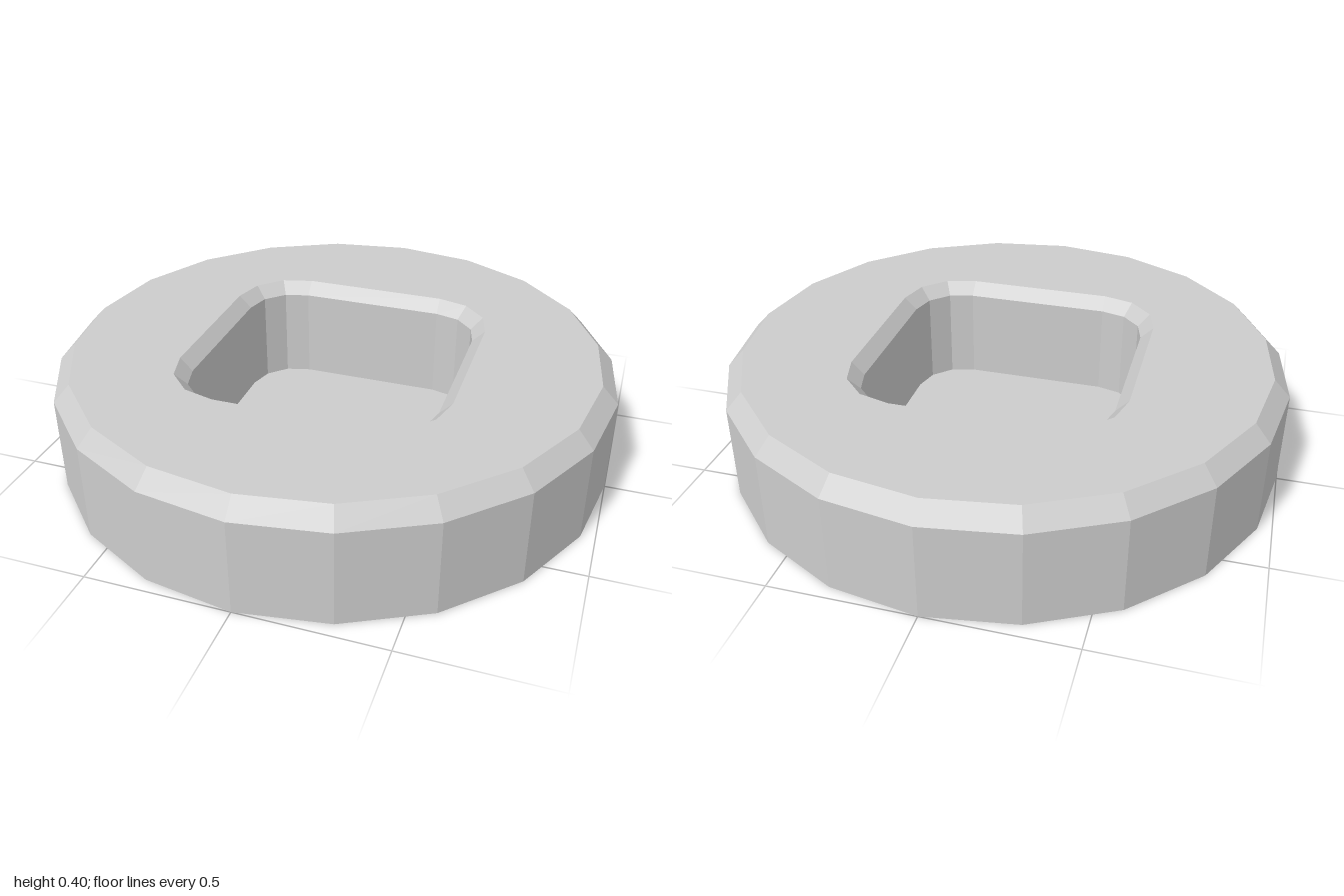
import * as THREE from 'three';

const HEIGHT = 0.4, SIDES = 20;

// Regular polygon outline as [x, z] points
function disc(radius) {
  return Array.from({ length: SIDES }, (_, i) => {
    const a = (i / SIDES) * Math.PI * 2;
    return new THREE.Vector2(Math.cos(a) * radius, Math.sin(a) * radius);
  });
}

// Square outline with three-facet rounded corners
function roundedSquare(radius, centre = 0.267) {
  const points = [];
  for (let corner = 0; corner < 4; corner++) {
    const start = (corner * Math.PI) / 2, mid = start + Math.PI / 4;
    const cx = Math.SQRT2 * centre * Math.cos(mid), cz = Math.SQRT2 * centre * Math.sin(mid);
    for (let i = 0; i <= 3; i++) {
      const a = start + (i * Math.PI) / 6;
      points.push(new THREE.Vector2(cx + radius * Math.cos(a), cz + radius * Math.sin(a)));
    }
  }
  return points;
}

// Band of quads joining two outlines at two heights
function band(from, y0, to, y1) {
  const pos = [];
  from.forEach((a, i) => {
    const j = (i + 1) % from.length, b = to[i], c = from[j], d = to[j];
    pos.push(a.x, y0, a.y, b.x, y1, b.y, c.x, y0, c.y);
    pos.push(c.x, y0, c.y, b.x, y1, b.y, d.x, y1, d.y);
  });
  const geometry = new THREE.BufferGeometry();
  geometry.setAttribute('position', new THREE.Float32BufferAttribute(pos, 3));
  geometry.computeVertexNormals();
  return geometry;
}

// Flat horizontal face, optionally with a hole
function cap(outline, y, up = true, hole = null) {
  const shape = new THREE.Shape(outline);
  if (hole) shape.holes.push(new THREE.Path(hole));
  return new THREE.ShapeGeometry(shape).rotateX(up ? -Math.PI / 2 : Math.PI / 2).translate(0, y, 0);
}

export function createModel() {
  const group = new THREE.Group();
  group.name = 'roundBlockWithSquarePocket';
  const grey = new THREE.MeshStandardMaterial({ color: 0xcccccc, flatShading: true });
  grey.name = 'grey';
  const add = (name, geometry) => {
    const mesh = new THREE.Mesh(geometry, grey);
    mesh.name = name;
    group.add(mesh);
  };

  const outer = disc(1), top = disc(0.943);
  const rim = roundedSquare(0.223), pocket = roundedSquare(0.178);
  const shoulder = 0.34, lip = 0.355, floor = 0.01;

  // Outer body
  add('base', cap(outer, 0, false));
  add('outerWall', band(outer, 0, outer, shoulder));
  add('outerBevel', band(outer, shoulder, top, HEIGHT));
  add('topFace', cap(top, HEIGHT, true, rim));

  // Sunken square pocket
  add('pocketBevel', band(rim, HEIGHT, pocket, lip));
  add('pocketWall', band(pocket, lip, pocket, floor));
  add('pocketFloor', cap(pocket, floor));

  return group;
}
